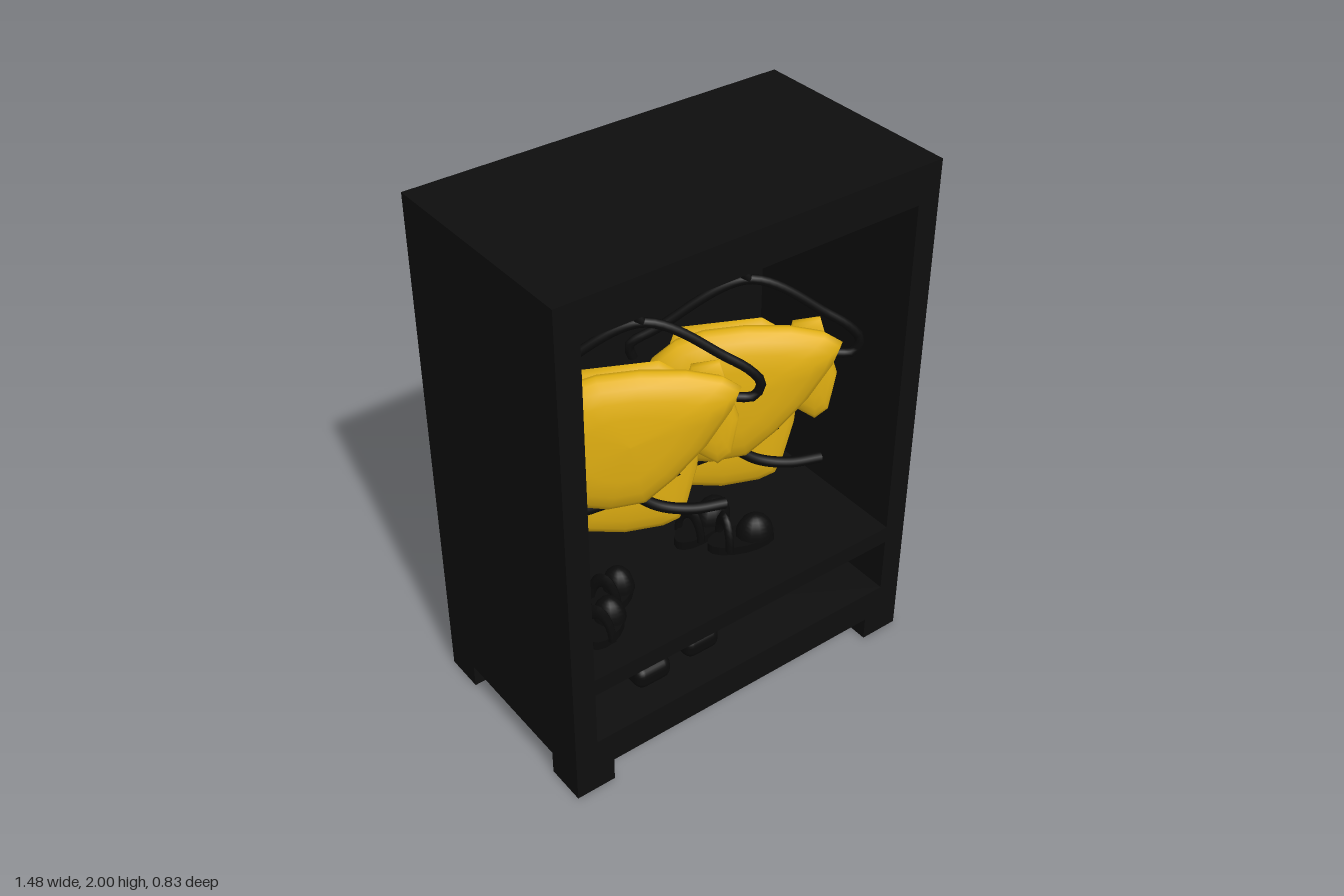
import * as THREE from 'three';
import { RoundedBoxGeometry } from 'three/addons/geometries/RoundedBoxGeometry.js';

const mat = (name, color) => {
  const m = new THREE.MeshStandardMaterial({ color });
  m.name = name;
  return m;
};
const wood = mat('black wood', 0x0e0e0e);
const rubber = mat('black rubber', 0x0b0b0b);
const yellow = mat('vest yellow', 0xe3b112);
const steel = mat('rail grey', 0x808080);

function add(parent, name, geometry, material, x = 0, y = 0, z = 0) {
  const mesh = new THREE.Mesh(geometry, material);
  mesh.name = name;
  mesh.position.set(x, y, z);
  parent.add(mesh);
  return mesh;
}

const rect = (C, x0, y0, x1, y1) => {
  const p = new C();
  p.moveTo(x0, y0);
  p.lineTo(x1, y0);
  p.lineTo(x1, y1);
  p.lineTo(x0, y1);
  p.closePath();
  return p;
};

// Padded panel: outline rings that shrink towards a domed front and back
function pillow(outline, half) {
  const pts = outline.map(([x, y]) => new THREE.Vector2(x, y));
  if (THREE.ShapeUtils.isClockWise(pts)) pts.reverse();
  const c = pts.reduce((s, p) => s.add(p), new THREE.Vector2()).divideScalar(pts.length);
  const n = pts.length, rings = 10, pos = [], index = [];
  for (let k = 0; k <= rings; k++) {
    const a = Math.PI * (k / rings - 0.5);
    const s = Math.pow(Math.max(Math.cos(a), 0), 0.65);
    for (const p of pts) pos.push(c.x + (p.x - c.x) * s, c.y + (p.y - c.y) * s, half * Math.sin(a));
  }
  for (let k = 0; k < rings; k++) {
    for (let i = 0; i < n; i++) {
      const a = k * n + i, b = k * n + (i + 1) % n;
      index.push(a, b, b + n, a, b + n, a + n);
    }
  }
  const g = new THREE.BufferGeometry();
  g.setAttribute('position', new THREE.Float32BufferAttribute(pos, 3));
  g.setIndex(index);
  g.computeVertexNormals();
  return g;
}

const tube = (pts, r, sides = 8) => new THREE.TubeGeometry(
  new THREE.CatmullRomCurve3(pts.map(p => new THREE.Vector3(...p)), false, 'centripetal'), 40, r, sides);

// Vest on its hanger, turned about the vertical so that its left side comes forward
const TURN = 0.54, CX = -0.27;
function hangingVest() {
  const g = new THREE.Group();
  g.name = 'hangingVest';
  g.rotation.y = -TURN;
  // Front-on x to local x at depth d
  const lx = (x, d) => (x - CX + Math.sin(TURN) * d) / Math.cos(TURN);
  const flat = (pts, d) => pts.map(([x, y]) => [lx(x, d), y]);
  const path = (pts, d) => pts.map(([x, y, e = 0]) => [lx(x, d + e), y, d + e]);

  const front = [[-0.48, 1.43], [-0.4, 1.46], [-0.28, 1.47], [-0.15, 1.46], [-0.05, 1.43],
    [0, 1.39], [-0.02, 1.32], [-0.09, 1.18], [-0.18, 1.05], [-0.27, 0.95], [-0.38, 0.93],
    [-0.47, 0.95], [-0.54, 1], [-0.59, 1.1], [-0.58, 1.22], [-0.55, 1.36]];
  const back = [[-0.4, 1.4], [-0.15, 1.42], [-0.03, 1.32], [-0.03, 1.15], [-0.04, 0.98],
    [-0.07, 0.82], [-0.09, 0.76], [-0.14, 0.73], [-0.26, 0.71], [-0.4, 0.73], [-0.43, 0.78],
    [-0.47, 0.92], [-0.48, 1.1]];
  const side = [[-0.08, 1.42], [0, 1.43], [0.02, 1.35], [0.06, 1.2], [0.04, 1.05], [0, 1.01],
    [-0.06, 1.06], [-0.12, 1.2]];
  add(g, 'vestFrontPanel', pillow(flat(front, 0.07), 0.08), yellow, 0, 0, 0.07);
  add(g, 'vestBackPanel', pillow(flat(back, -0.06), 0.055), yellow, 0, 0, -0.06);
  add(g, 'vestSidePanel', pillow(flat(side, -0.03), 0.04), yellow, 0, 0, -0.03);

  // Waist straps
  add(g, 'leftStrap', tube(path([[-0.5, 0.82, -0.03], [-0.42, 0.87], [-0.28, 0.94, 0.01]], 0.01), 0.02), rubber);
  add(g, 'rightStrap', tube(path([[-0.28, 0.94, 0.01], [-0.2, 0.88, 0.01], [-0.1, 0.85], [0.02, 0.84, -0.03]], 0.01), 0.02), rubber);
  add(g, 'upperStrap', tube(path([[-0.28, 0.94], [-0.2, 0.97], [-0.13, 1.01]], 0), 0.015), rubber);

  // Hanger hook and arms
  add(g, 'hangerHook', tube(path([[-0.18, 1.7], [-0.19, 1.75], [-0.235, 1.79], [-0.28, 1.75],
    [-0.28, 1.69], [-0.23, 1.61]], 0), 0.017), rubber);
  add(g, 'hangerArms', tube(path([[-0.56, 1.33], [-0.57, 1.38], [-0.49, 1.44], [-0.23, 1.61], [0, 1.46],
    [0.07, 1.4], [0.1, 1.35], [0.08, 1.3], [0.03, 1.3]], 0), 0.017), rubber);
  return g;
}

// Open shoe: flat sole, toe cap and heel band
function shoe(length) {
  const g = new THREE.Group();
  g.name = 'shoe';
  const sole = new THREE.CylinderGeometry(0.5, 0.5, 1, 16);
  sole.scale(length, 0.035, 0.12);
  add(g, 'sole', sole, rubber, 0, 0.018, 0);
  const toe = new THREE.SphereGeometry(0.5, 12, 8, 0, Math.PI * 2, 0, Math.PI / 2);
  toe.scale(length * 0.55, 0.18, 0.12);
  add(g, 'toeCap', toe, rubber, length * 0.2, 0.03, 0);
  const band = new THREE.TorusGeometry(0.055, 0.015, 6, 14, Math.PI);
  band.rotateY(Math.PI / 2);
  band.scale(1, 2, 1);
  add(g, 'heelBand', band, rubber, -length * 0.25, 0.02, 0);
  return g;
}

export function createModel() {
  const model = new THREE.Group();
  model.name = 'wardrobe';

  // Carcass with a tall bay and a low bay
  const frame = rect(THREE.Shape, -0.74, 0.095, 0.74, 2);
  frame.holes.push(rect(THREE.Path, -0.652, 0.52, 0.652, 1.86), rect(THREE.Path, -0.652, 0.225, 0.652, 0.45));
  add(model, 'carcass', new THREE.ExtrudeGeometry(frame, { depth: 0.755, bevelEnabled: false }), wood, 0, 0, -0.34);
  add(model, 'backPanel', new THREE.BoxGeometry(1.48, 1.905, 0.08), wood, 0, 1.0475, -0.38);
  for (const x of [-1, 1]) for (const z of [-1, 1])
    add(model, 'foot', new THREE.BoxGeometry(0.155, 0.1, 0.155), wood, x * 0.6625, 0.05, z * 0.3375 - (z < 0 ? 0.005 : 0));

  // Hanging rail
  const rail = new THREE.CylinderGeometry(0.024, 0.024, 1.304, 16);
  rail.rotateZ(Math.PI / 2);
  add(model, 'rail', rail, steel, 0, 1.745, 0.12);

  for (const x of [CX, CX + 0.43]) {
    const vest = hangingVest();
    vest.position.set(x, 0, 0.1);
    model.add(vest);
  }

  // Shoes on the upper shelf
  for (const [x, z, turn, len] of [[-0.49, 0.24, 0.5, 0.2], [-0.38, 0.13, 0.4, 0.2],
    [0.17, 0.16, -0.3, 0.26], [0.1, 0.02, 0.2, 0.28]]) {
    const s = shoe(len);
    s.position.set(x, 0.52, z);
    s.rotation.y = turn;
    model.add(s);
  }

  // Boots on the lower shelf
  for (const [x, z] of [[-0.33, 0.22], [-0.1, 0.2], [0.155, 0.1], [0.39, 0.13]]) {
    const boot = new THREE.Group();
    boot.name = 'boot';
    boot.position.set(x, 0.225, z);
    add(boot, 'bootFoot', new RoundedBoxGeometry(0.15, 0.09, 0.2, 3, 0.035), rubber, 0, 0.045, 0);
    add(boot, 'bootCuff', new THREE.CylinderGeometry(0.065, 0.07, 0.11, 12), rubber, 0, 0.1, -0.03);
    model.add(boot);
  }
  return model;
}
